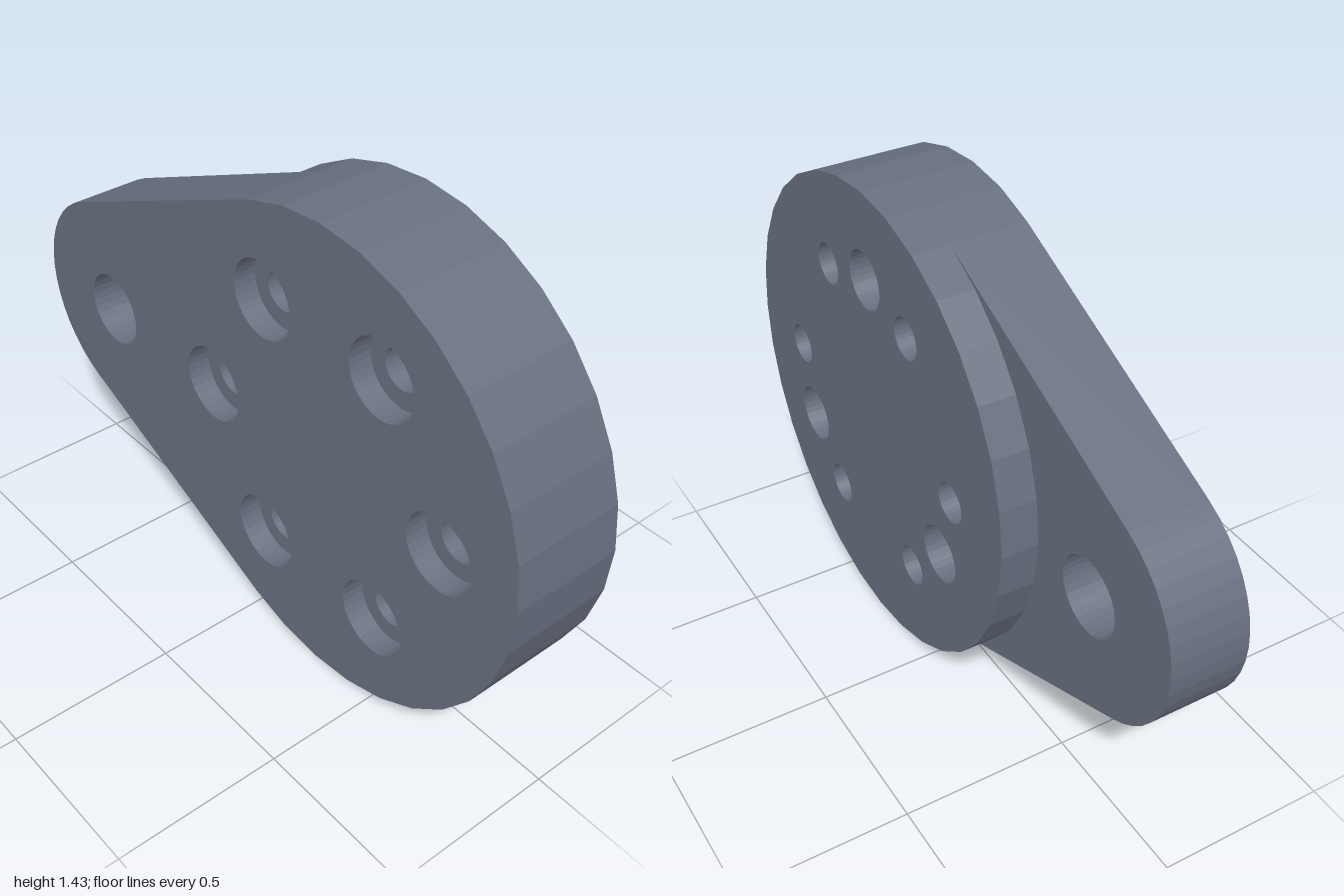
import * as THREE from 'three';

const CY = 0.717, DISC_X = 0.283, DISC_R = 0.717, ARM_X = -0.663, ARM_R = 0.337;
const FRONT = 0.17, BACK = -0.17, ARM_BACK = -0.06, BORE_Z = 0.1, BLIND_Z = 0.07;
const RAD = Math.PI / 180;

// points on an arc, counter-clockwise when a1 > a0 (degrees)
function arc(x, y, r, a0, a1, n) {
  return Array.from({ length: n + 1 }, (_, i) => {
    const a = (a0 + (a1 - a0) * i / n) * RAD;
    return new THREE.Vector2(x + r * Math.cos(a), y + r * Math.sin(a));
  });
}
const circle = (x, y, r, n = 32) => arc(x, y, r, 0, 360, n).slice(0, n);

// flat face with holes at depth z, facing front or back
function face(outline, holes, z, back = false) {
  const shape = new THREE.Shape(outline);
  shape.holes = holes.map((h) => new THREE.Path(h));
  const g = new THREE.ShapeGeometry(shape);
  if (back) {
    g.setIndex(Array.from(g.index.array).reverse());
    g.computeVertexNormals();
  }
  return g.translate(0, 0, z);
}

// faceted wall along a closed outline; inward for holes
function wall(outline, z0, z1, inward = false) {
  const pts = inward ? [...outline].reverse() : outline;
  const v = [];
  pts.forEach((a, i) => {
    const b = pts[(i + 1) % pts.length];
    v.push(a.x, a.y, z0, b.x, b.y, z0, b.x, b.y, z1);
    v.push(a.x, a.y, z0, b.x, b.y, z1, a.x, a.y, z1);
  });
  const g = new THREE.BufferGeometry();
  g.setAttribute('position', new THREE.Float32BufferAttribute(v, 3));
  g.computeVertexNormals();
  return g;
}

export function createModel() {
  const group = new THREE.Group();
  const steel = new THREE.MeshStandardMaterial({ color: 0x687080 });
  steel.name = 'slate steel';
  const add = (name, ...geometries) => {
    const part = new THREE.Group();
    part.name = name;
    geometries.forEach((g) => {
      const mesh = new THREE.Mesh(g, steel);
      mesh.name = name;
      part.add(mesh);
    });
    group.add(part);
  };

  // outlines: round disc, and teardrop plate tangent to disc and arm end
  const disc = circle(DISC_X, CY, DISC_R);
  const tangent = 90 + Math.asin((DISC_R - ARM_R) / (DISC_X - ARM_X)) / RAD;
  const armEnd = arc(ARM_X, CY, ARM_R, tangent, 360 - tangent, 16);
  const plate = [...arc(DISC_X, CY, DISC_R, -112.5, 112.5, 20), ...armEnd];
  const pivot = circle(ARM_X, CY, 0.113);

  // holes on a common bolt circle
  const onBoltCircle = (deg, r) =>
    circle(DISC_X + 0.453 * Math.cos(deg * RAD), CY + 0.453 * Math.sin(deg * RAD), r);
  const boltAngles = [0, 60, 120, 180, 240, 300];
  const bolts = boltAngles.map((a) => onBoltCircle(a, 0.061));
  const bores = boltAngles.map((a) => onBoltCircle(a, 0.115));
  const blinds = [90, 210, 330].map((a) => onBoltCircle(a, 0.087));

  // body
  add('frontPlate', face(plate, [...bores, pivot], FRONT), wall(plate, ARM_BACK, FRONT));
  add('rearDisc', face(disc, [...bolts, ...blinds], BACK, true), wall(disc, BACK, ARM_BACK));
  add('armBack', face([...armEnd, ...arc(DISC_X, CY, DISC_R, 247.5, 112.5, 12)],
    [pivot], ARM_BACK, true));
  add('pivotHole', wall(pivot, ARM_BACK, FRONT, true));

  // counterbored bolt holes and blind holes
  bolts.forEach((bolt, i) => add('boltHole' + (i + 1),
    wall(bores[i], BORE_Z, FRONT, true),
    face(bores[i], [bolt], BORE_Z),
    wall(bolt, BACK, BORE_Z, true)));
  blinds.forEach((hole, i) => add('blindHole' + (i + 1),
    wall(hole, BACK, BLIND_Z, true),
    face(hole, [], BLIND_Z, true)));

  return group;
}
